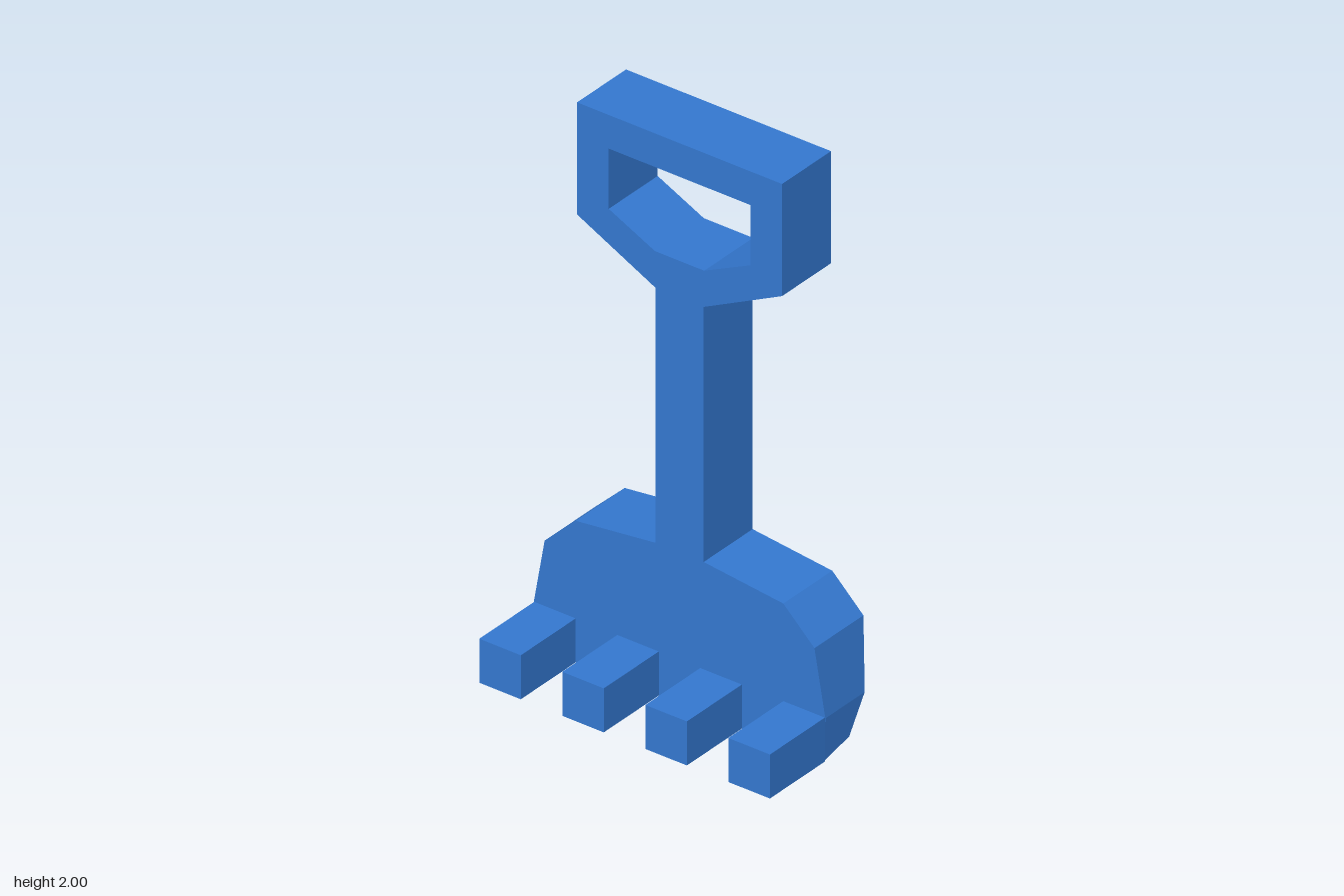
import * as THREE from 'three';

const FRONT = -0.015, BACK = -0.26;

// Closed path from the right half of an outline, mirrored to the left
function mirrored(PathType, half) {
  const left = half.slice().reverse().map(([x, y]) => [-x, y]);
  return new PathType([...half, ...left].map(([x, y]) => new THREE.Vector2(x, y)));
}

// Flat-sided loft through rectangles [y, halfWidth, zBack], listed from top to bottom
function loft(sections) {
  const rings = sections.map(([y, w, z]) => [[w, y, FRONT], [w, y, z], [-w, y, z], [-w, y, FRONT]]);
  const pos = [];
  for (let i = 0; i < rings.length - 1; i++) {
    for (let j = 0; j < 4; j++) {
      const k = (j + 1) % 4, top = rings[i], low = rings[i + 1];
      pos.push(...low[j], ...low[k], ...top[k], ...low[j], ...top[k], ...top[j]);
    }
  }
  const geo = new THREE.BufferGeometry();
  geo.setAttribute('position', new THREE.Float32BufferAttribute(pos, 3));
  geo.computeVertexNormals();
  return geo;
}

export function createModel() {
  const group = new THREE.Group();
  const material = new THREE.MeshStandardMaterial({ color: 0x3478d0, flatShading: true });
  const add = (name, geo) => {
    const mesh = new THREE.Mesh(geo, material);
    mesh.name = name;
    group.add(mesh);
    return mesh;
  };

  // Grip, shaft and shoulders of the blade in one outline
  const outline = mirrored(THREE.Shape, [
    [0.52, 0.39], [0.4, 0.505], [0.093, 0.54], [0.093, 1.45], [0.395, 1.6], [0.395, 2],
  ]);
  outline.holes.push(mirrored(THREE.Path, [[0.095, 1.58], [0.273, 1.665], [0.273, 1.88]]));
  const handle = new THREE.ExtrudeGeometry(outline, { depth: FRONT - BACK, bevelEnabled: false });
  add('handleAndShoulders', handle.translate(0, 0, BACK));

  // Lower blade, its back curving forward to the bottom edge
  add('lowerBlade', loft([
    [0.39, 0.52, BACK], [0.155, 0.562, -0.212], [0.03, 0.558, -0.14], [0, 0.557, FRONT],
  ]));

  // Four rake teeth
  const depth = 0.26 - FRONT;
  for (const x of [-0.48, -0.16, 0.16, 0.48]) {
    add('tooth', new THREE.BoxGeometry(0.16, 0.157, depth))
      .position.set(x, 0.0785, FRONT + depth / 2);
  }
  return group;
}
